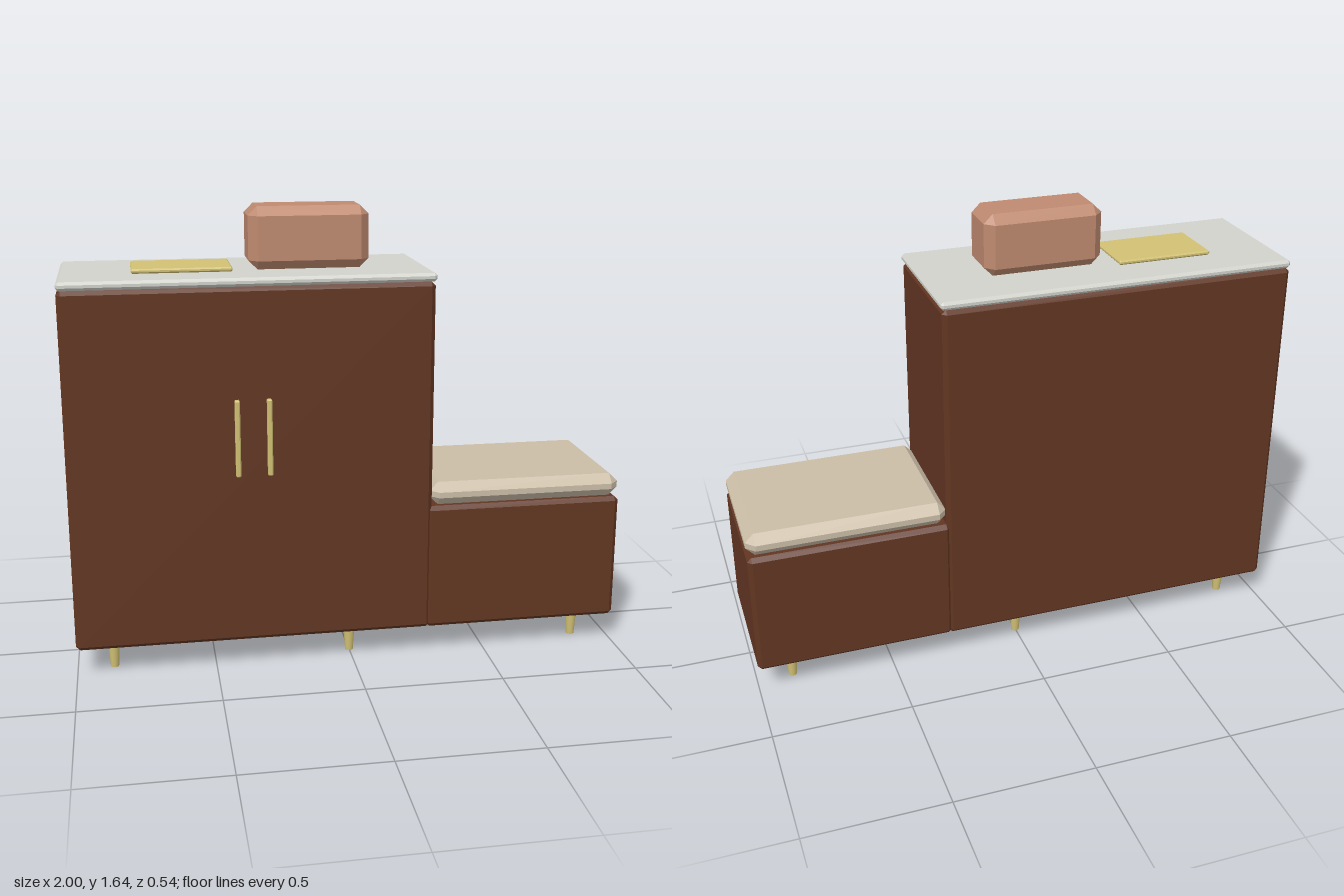
import * as THREE from 'three';
import { ConvexGeometry } from 'three/addons/geometries/ConvexGeometry.js';

const material = (name, color) => {
  const m = new THREE.MeshStandardMaterial({ color });
  m.name = name;
  return m;
};

// Box between two corners with every edge chamfered by b
function chamferBox([x0, y0, z0], [x1, y1, z1], b) {
  const hx = (x1 - x0) / 2, hy = (y1 - y0) / 2, hz = (z1 - z0) / 2;
  const points = [];
  for (const sx of [-1, 1]) for (const sy of [-1, 1]) for (const sz of [-1, 1]) {
    points.push(
      new THREE.Vector3(sx * hx, sy * (hy - b), sz * (hz - b)),
      new THREE.Vector3(sx * (hx - b), sy * hy, sz * (hz - b)),
      new THREE.Vector3(sx * (hx - b), sy * (hy - b), sz * hz)
    );
  }
  return new ConvexGeometry(points).translate((x0 + x1) / 2, (y0 + y1) / 2, (z0 + z1) / 2);
}

export function createModel() {
  const group = new THREE.Group();
  group.name = 'cabinetWithBench';

  const walnut = material('walnut', 0x623622);
  const stone = material('stone', 0xd2d2cc);
  const fabric = material('fabric', 0xcbbda7);
  const clay = material('clay', 0xbf8a70);
  const brass = material('brass', 0xd1c074);

  const add = (name, geometry, mat) => {
    const mesh = new THREE.Mesh(geometry, mat);
    mesh.name = name;
    group.add(mesh);
    return mesh;
  };
  const back = -0.267, front = 0.253;

  // Carcasses
  add('tallCabinet', chamferBox([-1, 0.105, back], [0.29, 1.395, front], 0.015), walnut);
  add('benchBase', chamferBox([0.275, 0.105, back], [1, 0.575, front], 0.015), walnut);

  // Worktop and seat cushion
  add('worktop', chamferBox([-1, 1.395, back], [0.295, 1.425, front], 0.01), stone);
  add('seatCushion', chamferBox([0.285, 0.575, back], [1, 0.66, front], 0.032), fabric);

  // Objects on the worktop
  add('tray', chamferBox([-0.75, 1.425, -0.122], [-0.4, 1.441, 0.099], 0.005), brass);
  add('storageBox', chamferBox([-0.342, 1.425, -0.107], [0.086, 1.645, 0.093], 0.032), clay);

  // Door handles
  for (const x of [-0.409, -0.297]) {
    add('doorHandle', chamferBox([x - 0.009, 0.73, 0.245], [x + 0.009, 1.005, 0.274], 0.004), brass);
  }

  // Tapered legs
  const legGeometry = new THREE.CylinderGeometry(0.022, 0.015, 0.11, 12);
  for (const x of [-0.868, 0, 0.868]) for (const z of [-0.173, 0.16]) {
    add('leg', legGeometry, brass).position.set(x, 0.055, z);
  }

  return group;
}
